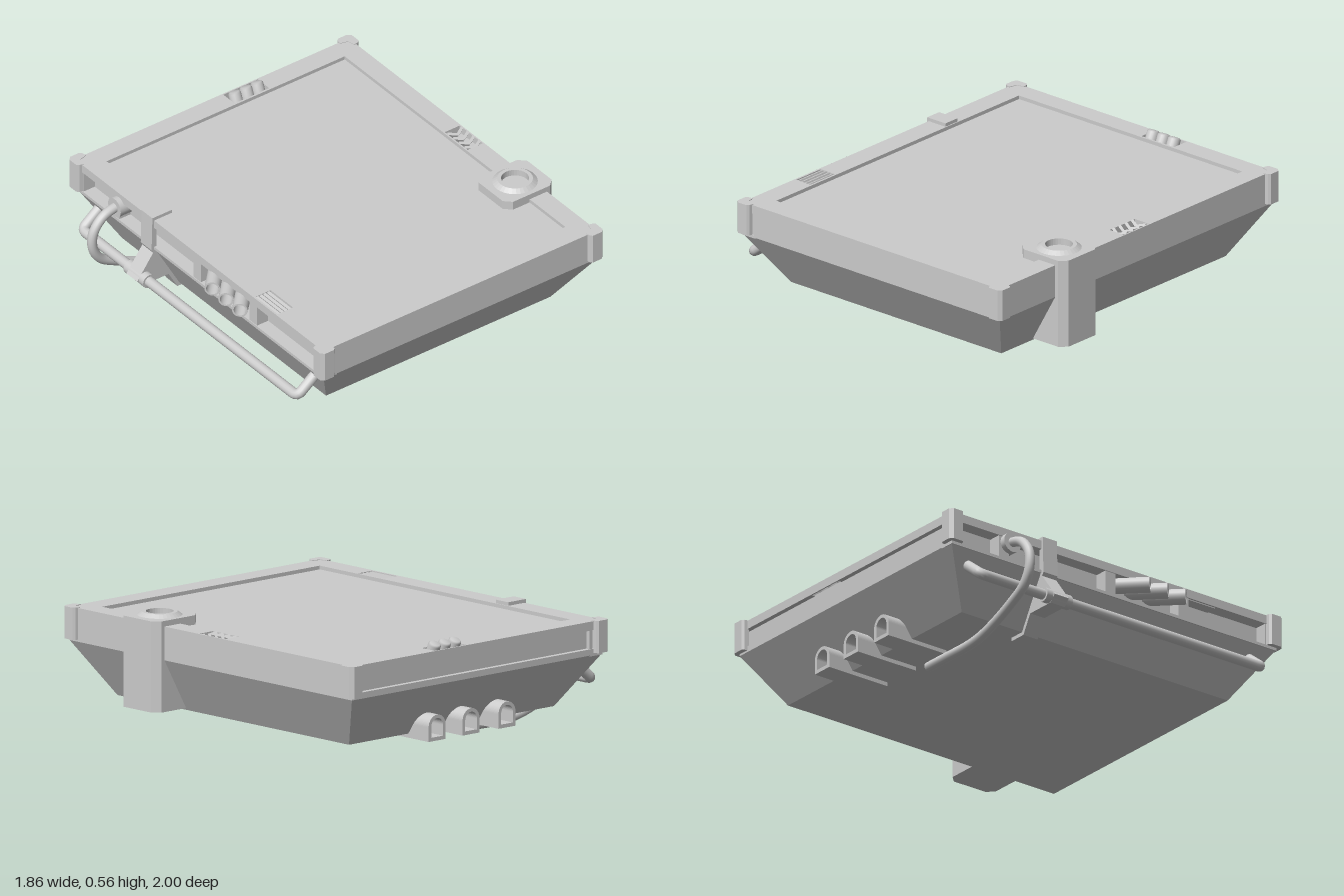
import * as THREE from 'three';

const mat = new THREE.MeshStandardMaterial({ color: 0xcccccc, side: THREE.DoubleSide });
const flat = new THREE.MeshStandardMaterial({ color: 0xcccccc, flatShading: true, side: THREE.DoubleSide });
const V = (x, y, z) => new THREE.Vector3(x, y, z);

export function createModel() {
  const model = new THREE.Group();
  const add = (name, geo, m = flat, parent = model) => {
    const mesh = new THREE.Mesh(geo, m);
    mesh.name = name;
    parent.add(mesh);
    return mesh;
  };
  // Box given by its limits on each axis
  const box = (name, x0, x1, y0, y1, z0, z1) => {
    const mesh = add(name, new THREE.BoxGeometry(x1 - x0, y1 - y0, z1 - z0));
    mesh.position.set((x0 + x1) / 2, (y0 + y1) / 2, (z0 + z1) / 2);
    return mesh;
  };
  const poly = (pts) => new THREE.Shape(pts.map(([x, y]) => new THREE.Vector2(x, y)));
  const rect = (x0, x1, z0, z1) => poly([[x0, z0], [x1, z0], [x1, z1], [x0, z1]]);
  const extrude = (shape, depth) =>
    new THREE.ExtrudeGeometry(shape, { depth, bevelEnabled: false, curveSegments: 16 });
  // Plan drawn in (x, z), raised from y0 to y1
  const raise = (shape, y0, y1) => extrude(shape, y1 - y0).rotateX(Math.PI / 2).translate(0, y1, 0);
  // Open cylinder wall with optional inner wall between two points
  const cylinder = (name, a, b, r, open = false) => {
    const geo = new THREE.CylinderGeometry(r, r, a.distanceTo(b), 20, 1, open);
    const mesh = add(name, geo, mat);
    mesh.position.copy(a).lerp(b, 0.5);
    mesh.quaternion.setFromUnitVectors(V(0, 1, 0), b.clone().sub(a).normalize());
    return mesh;
  };

  // Tapered lower hull
  const hull = add('hull',
    new THREE.CylinderGeometry(Math.SQRT1_2, 0.82 * Math.SQRT1_2, 0.26, 4).rotateY(Math.PI / 4).scale(1.62, 1, 1.95));
  hull.position.set(0.063, 0.22, 0);

  // Upper band: plain at front and right, recessed at the back and the other side
  const [L, R, B, F] = [-0.75, 0.873, -0.975, 0.975];
  box('bandCore', L + 0.07, R, 0.35, 0.475, B + 0.025, F);
  box('backSill', L, R, 0.35, 0.38, B, B + 0.03);
  box('sideSill', L, L + 0.08, 0.345, 0.36, B, F);
  for (const z of [-0.94, -0.66, -0.02, 0.42, 0.94]) box('sideRib', L + 0.004, L + 0.08, 0.35, 0.48, z - 0.03, z + 0.03);

  // Top rim with openings for the panel, the louvres and the lamps
  const rim = rect(L, R, B, F);
  rim.holes.push(
    rect(-0.64, 0.77, -0.87, 0.86),
    rect(0.778, 0.866, -0.095, 0.085),
    rect(-0.74, -0.65, 0.43, 0.605),
    rect(0.125, 0.33, -0.968, -0.88));
  add('rim', raise(rim, 0.47, 0.513));
  box('topPanel', -0.645, 0.775, 0.46, 0.495, -0.875, 0.865);
  box('sideVentFloor', L + 0.01, -0.645, 0.465, 0.478, 0.42, 0.615);

  // Louvres: slanted slats across one rim, narrow slats along the other
  for (let i = 0; i < 4; i++) {
    for (const s of [-1, 1]) {
      const slat = box('louvre', 0.8, 0.85, 0.475, 0.511, -0.007, 0.007);
      slat.position.set(0.822 + s * 0.021, 0.494, -0.072 + i * 0.045);
      slat.rotation.set(0.5, s * 0.5, 0);
    }
    const fin = box('ventFin', -0.01, 0.005, 0.475, 0.511, 0.43, 0.605);
    fin.position.x = -0.727 + i * 0.022;
    fin.rotation.z = 0.3;
  }

  // Three tilted lamps
  for (let i = 0; i < 3; i++) {
    const lamp = add('lamp', new THREE.LatheGeometry(
      [[0, 0.02], [0.024, 0.02], [0.031, 0.012], [0.031, -0.05]].map(([x, y]) => new THREE.Vector2(x, y)), 20), mat);
    lamp.position.set(0.16 + i * 0.066, 0.52, -0.922);
    lamp.rotation.x = -0.42;
  }

  // Corner guards wrapping each corner of the band
  const guard = [[-0.06, -0.01], [-0.055, 0.014], [-0.045, 0.025], [0.008, 0.025], [0.025, 0.008],
    [0.025, -0.045], [0.014, -0.055], [-0.01, -0.06], [-0.02, -0.02]];
  for (const sx of [-1, 1]) for (const sz of [-1, 1]) {
    const g = add('cornerGuard', raise(poly(guard.map(([x, z]) => [x * sx, z * sz])), 0.36, 0.516));
    g.position.set(sx < 0 ? L : R, 0, sz * F);
  }

  // Chamfered post with a low hollow collar on top
  const [px, pz, c] = [0.782, 0.45, 0.035];
  const outline = (w, d) => poly([[-w + c, -d], [w - c, -d], [w, -d + c], [w, d - c],
    [w - c, d], [-w + c, d], [-w, d - c], [-w, -d + c]]);
  const cap = outline(0.145, 0.13);
  cap.holes.push(new THREE.Path().absarc(0, 0, 0.1, 0, Math.PI * 2, true));
  const post = new THREE.Group();
  post.name = 'post';
  post.position.set(px, 0, pz);
  model.add(post);
  add('column', raise(outline(0.145, 0.13), 0.1, 0.515), flat, post);
  add('capPlate', raise(cap, 0.51, 0.54), flat, post);
  add('collar', new THREE.LatheGeometry(
    [[0, 0.525], [0.066, 0.525], [0.066, 0.557], [0.085, 0.557], [0.108, 0.54]]
      .map(([x, y]) => new THREE.Vector2(x, y)), 32), flat, post);

  // Hollow arched outlets at the back
  const arch = (w, y0, yc) => {
    const s = new THREE.Shape();
    s.moveTo(-w, y0);
    s.lineTo(w, y0);
    s.lineTo(w, yc);
    s.absarc(0, yc, w, 0, Math.PI, false);
    s.closePath();
    return s;
  };
  const outletShape = arch(0.055, 0.07, 0.14);
  outletShape.holes.push(arch(0.038, 0.088, 0.14));
  for (const x of [-0.165, 0.068, 0.288])
    add('archedOutlet', extrude(outletShape, 0.35)).position.set(x, 0, -0.94);

  // Side rail pipe with rounded elbows
  const rail = new THREE.CurvePath();
  const [a, b] = [[-0.66, 0.315], [-0.78, 0.222]];
  const [e, z] = [V(-0.805, 0.202, 0), 0.845];
  rail.add(new THREE.LineCurve3(V(...a, -z), V(...b, -z)));
  rail.add(new THREE.QuadraticBezierCurve3(V(...b, -z), V(e.x, e.y, -z), V(e.x, e.y, -z + 0.035)));
  rail.add(new THREE.LineCurve3(V(e.x, e.y, -z + 0.035), V(e.x, e.y, z - 0.035)));
  rail.add(new THREE.QuadraticBezierCurve3(V(e.x, e.y, z - 0.035), V(e.x, e.y, z), V(...b, z)));
  rail.add(new THREE.LineCurve3(V(...b, z), V(...a, z)));
  add('sideRail', new THREE.TubeGeometry(rail, 160, 0.026, 14), mat);

  // Strap over the rim and under the hull, with a clamp on the rail
  const strap = poly([[-0.645, 0.53], [-0.76, 0.53], [-0.765, 0.345], [-0.612, 0.072], [-0.52, 0.072],
    [-0.52, 0.1], [-0.59, 0.1], [-0.735, 0.35], [-0.735, 0.5], [-0.645, 0.5]]);
  add('strap', extrude(strap, 0.085)).position.z = -0.437;
  cylinder('railClamp', V(e.x, e.y, -0.472), V(e.x, e.y, -0.318), 0.036);
  add('clampArm', extrude(poly([[-0.85, 0.2], [-0.82, 0.165], [-0.65, 0.165], [-0.72, 0.3], [-0.75, 0.335]]), 0.085))
    .position.z = -0.437;

  // Slanted hollow side tubes
  for (let i = 0; i < 3; i++) {
    const ze = 0.175 + i * 0.108;
    const [p, q] = [V(-0.66, 0.44, ze - 0.15), V(-0.803, 0.44, ze)];
    cylinder('sideTube', p, q, 0.038, true);
    cylinder('sideTubeBore', p, q, 0.03, true);
    const lip = add('sideTubeLip', new THREE.RingGeometry(0.03, 0.038, 20));
    lip.position.copy(q);
    lip.lookAt(q.clone().multiplyScalar(2).sub(p));
  }

  // Hose looping from a flange down under the hull
  const hz = -0.63;
  const hose = new THREE.CatmullRomCurve3([[-0.68, 0.44], [-0.77, 0.44], [-0.845, 0.415], [-0.9, 0.345], [-0.903, 0.26],
    [-0.86, 0.185], [-0.77, 0.13], [-0.63, 0.068], [-0.52, 0.035], [-0.42, 0.024], [-0.28, 0.024], [-0.13, 0.024]]
    .map(([x, y]) => V(x, y, hz)), false, 'centripetal');
  add('hose', new THREE.TubeGeometry(hose, 90, 0.024, 14), mat);
  cylinder('hoseFlange', V(-0.775, 0.44, hz), V(-0.67, 0.44, hz), 0.05);
  cylinder('hoseEnd', V(-0.16, 0.024, hz), V(-0.135, 0.024, hz), 0.023);

  return model;
}
